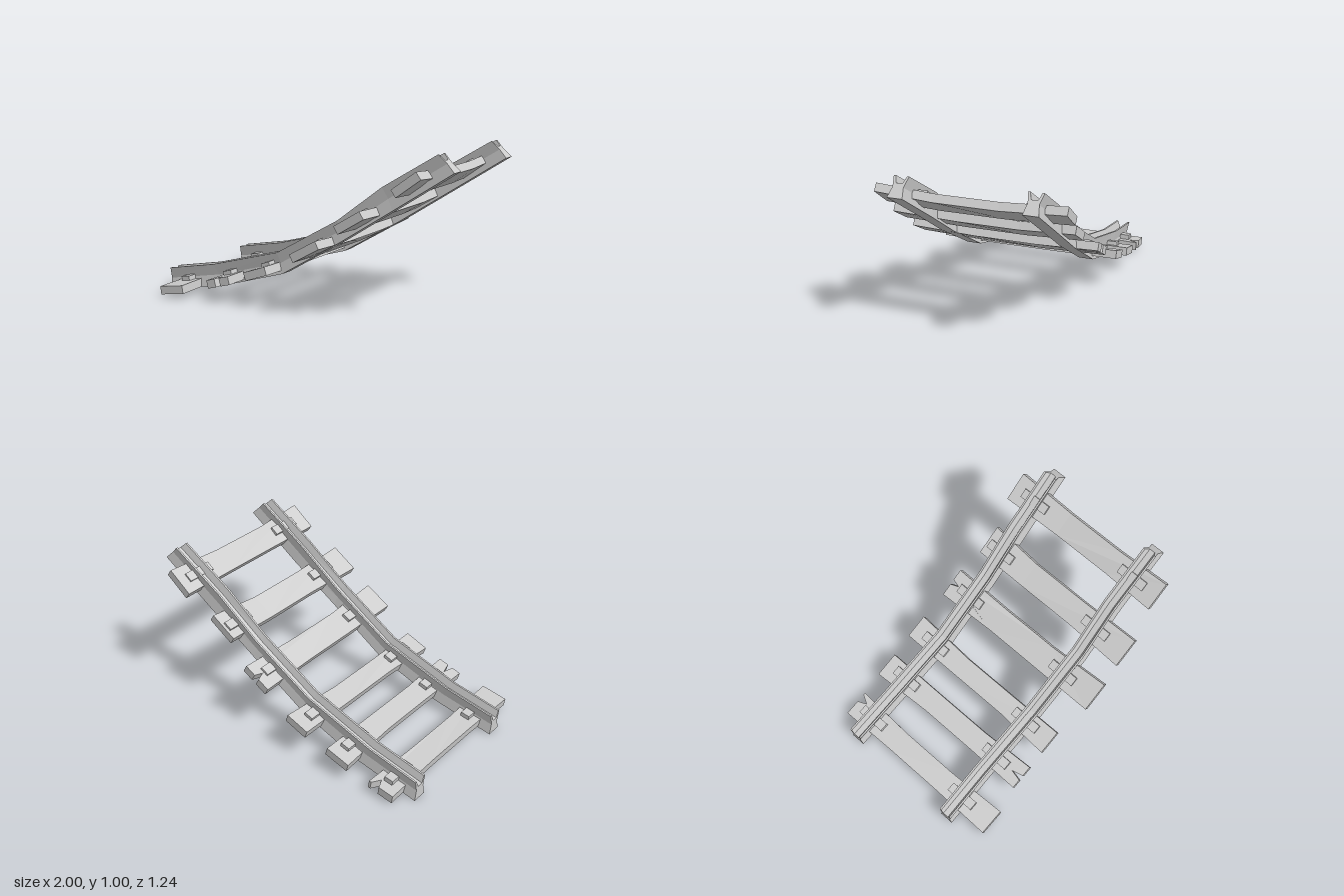
import * as THREE from 'three';

const material = new THREE.MeshStandardMaterial({ color: 0xcccccc, flatShading: true });

// Rail stations: bottom x, y and top x, y, rising towards +x
const stations = [
  [-1, 0, -1, 0.14],
  [-0.58, 0.07, -0.66, 0.2],
  [-0.13, 0.2, -0.17, 0.33],
  [0.28, 0.44, 0.26, 0.57],
  [0.62, 0.657, 0.55, 0.79],
  [1, 0.9, 0.9, 1],
];

// Waisted rail section with a groove in the top: half width, share of height
const half = [[0.047, 0], [0.033, 0.5], [0.047, 1], [0.035, 1], [0.019, 0.67]];

// Crooked sleepers: centre, tilt, width, z ends, sideways shift of each end, lift of the ends
const sleepers = [
  { x: -0.835, y: 0.057, deg: 8, w: 0.175, back: -0.6, front: 0.605, sb: 0, sf: 0, lift: -0.006,
    notch: { end: 'back', u: [0.015, 0.04, 0.072], depth: 0.058 } },
  { x: -0.5, y: 0.135, deg: 15, w: 0.168, back: -0.612, front: 0.568, sb: -0.015, sf: 0, lift: 0,
    notch: { end: 'front', u: [-0.022, -0.005, 0.014], depth: 0.075 } },
  { x: -0.21, y: 0.223, deg: 19, w: 0.162, back: -0.62, front: 0.565, sb: 0.008, sf: -0.014, lift: 0.006 },
  { x: 0.152, y: 0.398, deg: 29, w: 0.2, back: -0.6, front: 0.615, sb: -0.006, sf: 0.008, lift: 0.012,
    notch: { end: 'back', u: [-0.02, 0, 0.016], depth: 0.055 } },
  { x: 0.455, y: 0.603, deg: 31, w: 0.196, back: -0.553, front: 0.603, sb: 0.012, sf: -0.008, lift: 0.012 },
  { x: 0.785, y: 0.833, deg: 36, w: 0.19, back: -0.6, front: 0.552, sb: 0, sf: 0, lift: 0.018 },
];
const THICK = 0.053;

// Sweep the section through the stations; centres holds the z of each station
function makeRail(name, centres) {
  const outline = [...half, ...half.map(([w, h]) => [-w, h]).reverse()];
  const shape = new THREE.Shape(outline.map(([w, h]) => new THREE.Vector2(w, h)));
  const n = stations.length - 1;
  const geo = new THREE.ExtrudeGeometry(shape, { depth: n, steps: n, bevelEnabled: false });
  const p = geo.attributes.position;
  for (let i = 0; i < p.count; i++) {
    const s = Math.round(p.getZ(i));
    const [bx, by, tx, ty] = stations[s];
    const h = p.getY(i);
    p.setXYZ(i, bx + (tx - bx) * h, by + (ty - by) * h, centres[s] - p.getX(i));
  }
  geo.computeVertexNormals();
  const rail = new THREE.Mesh(geo, material);
  rail.name = name;
  return rail;
}

// Plank outline with a narrower middle and an optional split in one end
function makePlank(s) {
  const e = s.w / 2, m = e - 0.013;
  const notchPoints = (end, z, inward) => {
    if (!s.notch || s.notch.end !== end) return [];
    const [a, b, c] = s.notch.u;
    return [[a, z], [b, z + inward * s.notch.depth], [c, z]];
  };
  const outline = [
    [s.sb - e, s.back], ...notchPoints('back', s.back, 1), [s.sb + e, s.back],
    [m - 0.004, -0.2], [m - 0.004, 0.2],
    [s.sf + e, s.front], ...notchPoints('front', s.front, -1).reverse(), [s.sf - e, s.front],
    [-m - 0.006, 0.2], [-m - 0.006, -0.2],
  ];
  const shape = new THREE.Shape(outline.map(([u, z]) => new THREE.Vector2(u, -z)));
  const geo = new THREE.ExtrudeGeometry(shape, { depth: THICK, bevelEnabled: false });
  geo.rotateX(-Math.PI / 2).translate(0, -THICK / 2, 0);
  const p = geo.attributes.position;
  for (let i = 0; i < p.count; i++) {
    if (Math.abs(p.getZ(i)) > 0.3) p.setY(i, p.getY(i) + s.lift);
  }
  geo.computeVertexNormals();
  const plank = new THREE.Mesh(geo, material);
  plank.name = 'sleeperPlank';
  return plank;
}

export function createModel() {
  const model = new THREE.Group();
  model.name = 'railTrack';

  model.add(makeRail('frontRail', [0.356, 0.349, 0.356, 0.366, 0.354, 0.357]));
  model.add(makeRail('backRail', [-0.438, -0.434, -0.42, -0.421, -0.43, -0.437]));

  // Each sleeper carries a fixing plate under both rails
  const plateGeo = new THREE.BoxGeometry(0.06, 0.035, 0.195);
  sleepers.forEach((s, i) => {
    const sleeper = new THREE.Group();
    sleeper.name = `sleeper${i + 1}`;
    sleeper.add(makePlank(s));
    for (const [name, z] of [['frontPlate', 0.355], ['backPlate', -0.435]]) {
      const plate = new THREE.Mesh(plateGeo, material);
      plate.name = name;
      plate.position.set(0, THICK / 2 + 0.008, z);
      sleeper.add(plate);
    }
    sleeper.position.set(s.x, s.y - s.lift / 2, 0);
    sleeper.rotation.z = THREE.MathUtils.degToRad(s.deg);
    model.add(sleeper);
  });

  return model;
}
